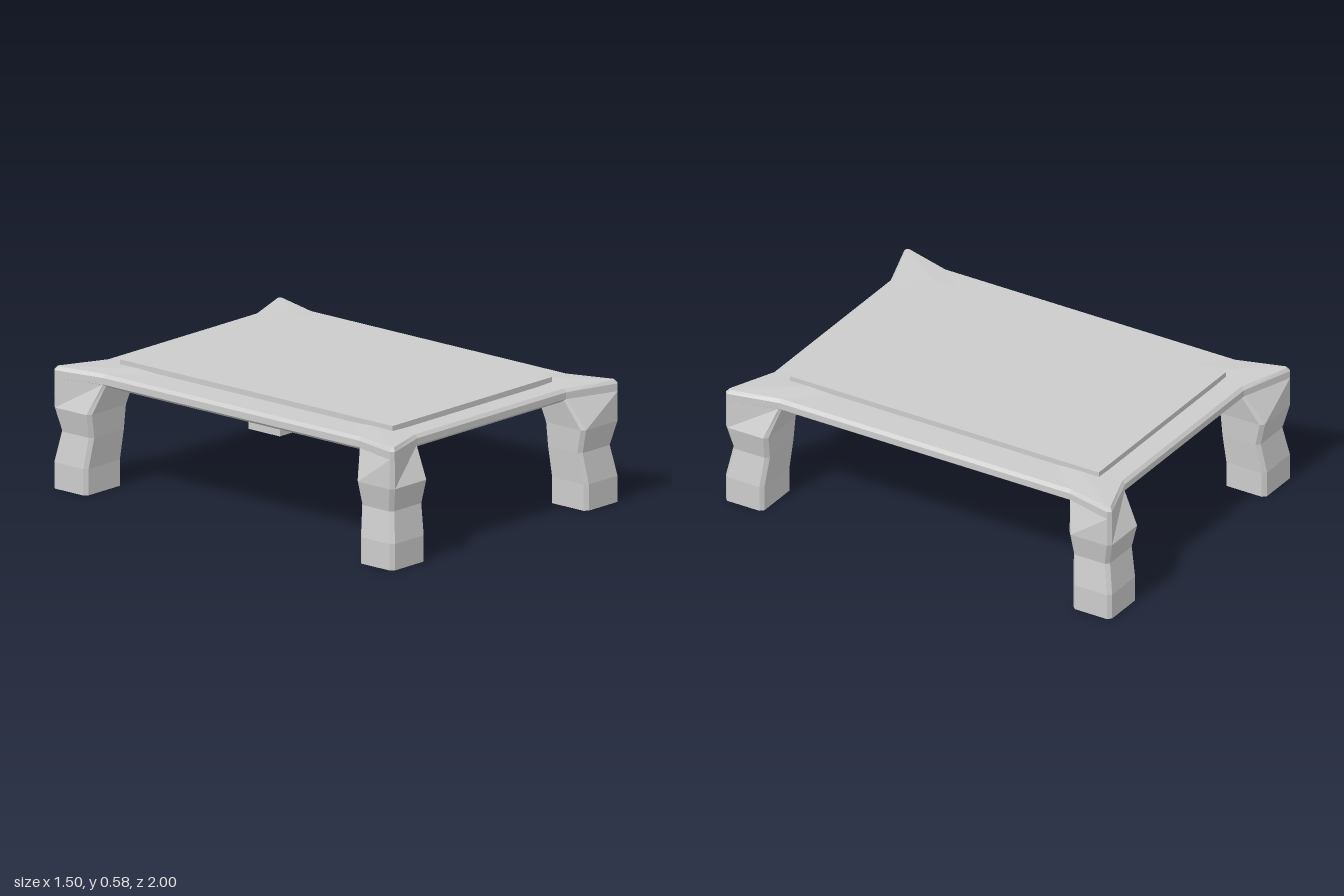
import * as THREE from 'three';

const material = new THREE.MeshStandardMaterial({ color: 0xcccccc, flatShading: true });

// Skin a stack of [x, y, z] rings (counter-clockwise from above, bottom to top) and cap both ends.
function loft(name, rings) {
  const pos = [];
  const tri = (...pts) => pts.forEach((p) => pos.push(...p));
  const centre = (ring) => [0, 1, 2].map((k) => ring.reduce((s, p) => s + p[k], 0) / ring.length);
  const n = rings[0].length;
  const low = rings[0], high = rings[rings.length - 1];
  const lowMid = centre(low), highMid = centre(high);
  for (let j = 0; j < n; j++) {
    const k = (j + 1) % n;
    for (let r = 0; r < rings.length - 1; r++) {
      tri(rings[r][j], rings[r][k], rings[r + 1][k]);
      tri(rings[r][j], rings[r + 1][k], rings[r + 1][j]);
    }
    tri(lowMid, low[k], low[j]);
    tri(highMid, high[j], high[k]);
  }
  const geometry = new THREE.BufferGeometry();
  geometry.setAttribute('position', new THREE.Float32BufferAttribute(pos, 3));
  geometry.computeVertexNormals();
  const mesh = new THREE.Mesh(geometry, material);
  mesh.name = name;
  return mesh;
}

// Mirror a quarter's points into another quadrant, keeping the winding.
function mirror(points, sx, sz) {
  const out = points.map(([x, y, z]) => [x * sx, y, z * sz]);
  return sx * sz < 0 ? out.reverse() : out;
}

const quadrants = [[1, 1], [1, -1], [-1, -1], [-1, 1]];

// Tabletop outline with four flared corners, shrunk by an inset.
function topRing(y, cornerY, inset) {
  const quarter = [
    [0.49, y, 0.915 - inset],
    [0.735 - inset * 0.7, cornerY, 1 - inset],
    [0.75 - inset, cornerY, 0.985 - inset * 0.7],
    [0.69 - inset, y, 0.75],
  ];
  return quadrants.flatMap(([sx, sz]) => mirror(quarter, sx, sz));
}

// Leg cross-section: chamfered box from the inner corner to the outer corner.
function legRing(y, ix, iz, ox, oz) {
  const c = 0.017;
  return [
    [ix, y, iz], [ix, y, oz - c], [ix + c, y, oz],
    [ox - c, y, oz], [ox, y, oz - c],
    [ox, y, iz + c], [ox - c, y, iz],
  ];
}

export function createModel() {
  const group = new THREE.Group();
  group.name = 'lowTable';

  // Bevelled tabletop
  group.add(loft('tabletop', [
    topRing(0.49, 0.49, 0.02),
    topRing(0.505, 0.505, 0),
    topRing(0.535, 0.54, 0),
    topRing(0.55, 0.556, 0.014),
  ]));

  // Raised panel
  const panel = new THREE.Mesh(new THREE.BoxGeometry(1.05, 0.04, 1.6), material);
  panel.name = 'raisedPanel';
  panel.position.y = 0.556;
  group.add(panel);

  // Wavy legs that flare into the tabletop corners
  const legRings = [
    legRing(0, 0.527, 0.8, 0.75, 1),
    legRing(0.12, 0.527, 0.8, 0.75, 1),
    legRing(0.26, 0.515, 0.787, 0.727, 0.975),
    legRing(0.37, 0.51, 0.78, 0.75, 1),
    [
      [0.485, 0.505, 0.745], [0.485, 0.505, 0.9], [0.495, 0.505, 0.915],
      [0.735, 0.505, 1], [0.75, 0.505, 0.985],
      [0.69, 0.505, 0.755], [0.675, 0.505, 0.745],
    ],
  ];
  for (const [sx, sz] of quadrants) {
    const name = (sz > 0 ? 'front' : 'back') + (sx > 0 ? 'Left' : 'Right') + 'Leg';
    group.add(loft(name, legRings.map((ring) => mirror(ring, sx, sz))));
  }
  return group;
}
